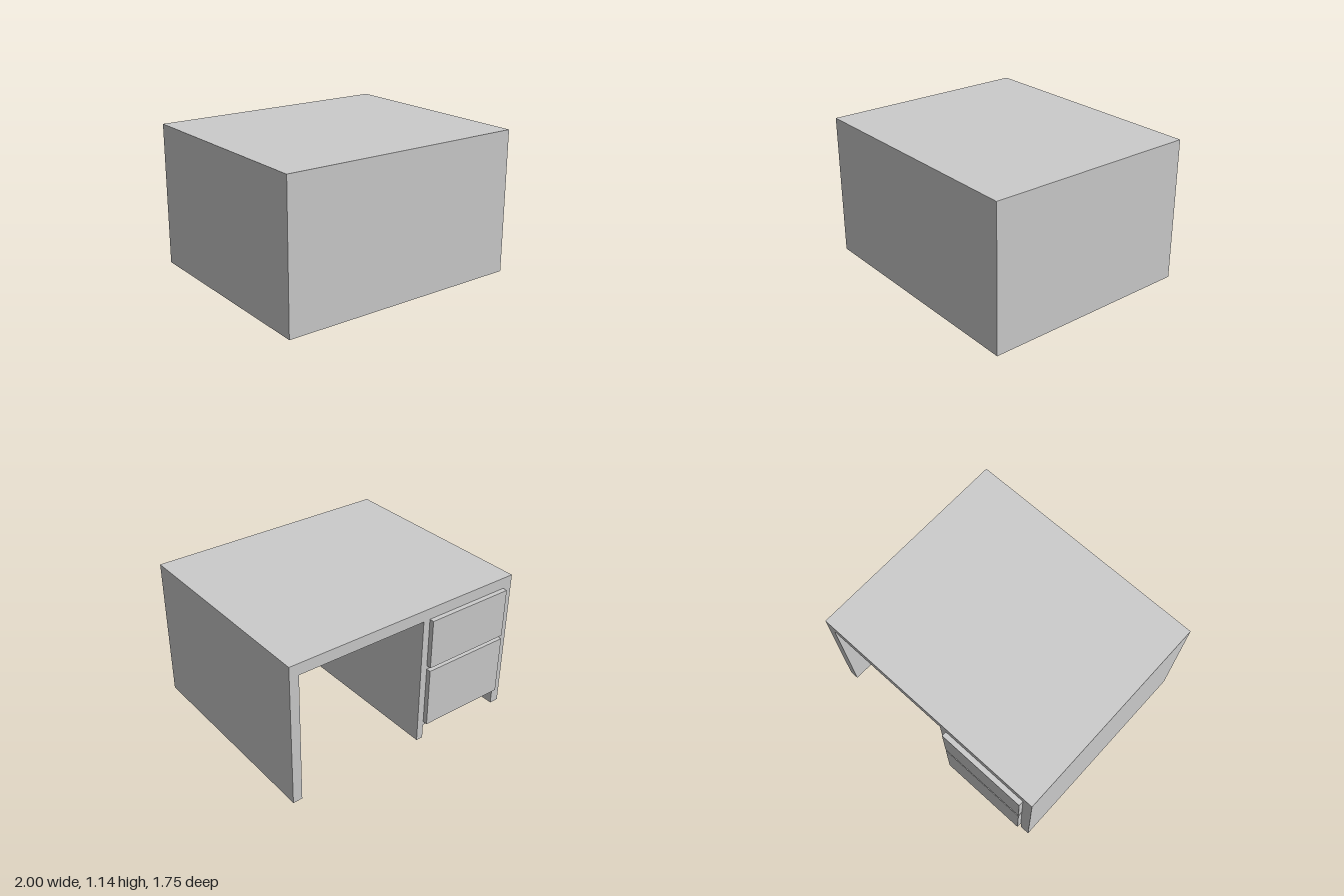
import * as THREE from 'three';

const material = new THREE.MeshStandardMaterial({ color: 0xcccccc, flatShading: true });

// Box given by its two opposite corners
function slab(name, [x0, y0, z0], [x1, y1, z1]) {
  const mesh = new THREE.Mesh(new THREE.BoxGeometry(x1 - x0, y1 - y0, z1 - z0), material);
  mesh.name = name;
  mesh.position.set((x0 + x1) / 2, (y0 + y1) / 2, (z0 + z1) / 2);
  return mesh;
}

export function createModel() {
  const desk = new THREE.Group();
  desk.name = 'desk';

  const height = 1.143, under = 1.053;      // desktop top and underside
  const back = -0.837, front = 0.875;       // depth of the carcass
  const inner = front - 0.1;                // inside of the modesty panel
  const side = 0.925;                       // inside of the side panels

  // Desktop, closed front and side panels
  desk.add(slab('desktop', [-1, under, back], [1, height, front]));
  desk.add(slab('modestyPanel', [-1, 0, inner], [1, under, front]));
  desk.add(slab('leftSidePanel', [side, 0, back], [1, under, inner]));
  desk.add(slab('rightSidePanel', [-1, 0, back], [-side, under, inner]));
  desk.add(slab('dividerPanel', [-0.193, 0, back], [-0.137, under, inner]));

  // Drawer pedestal, raised above the floor
  desk.add(slab('drawerPedestal', [-side, 0.12, back], [-0.193, under, inner]));

  // Drawer fronts standing proud of the pedestal
  const drawers = [['lowerDrawerFront', 0.15, 0.632], ['upperDrawerFront', 0.66, 1.055]];
  for (const [name, y0, y1] of drawers) {
    desk.add(slab(name, [-0.92, y0, -0.875], [-0.193, y1, back]));
  }
  return desk;
}
